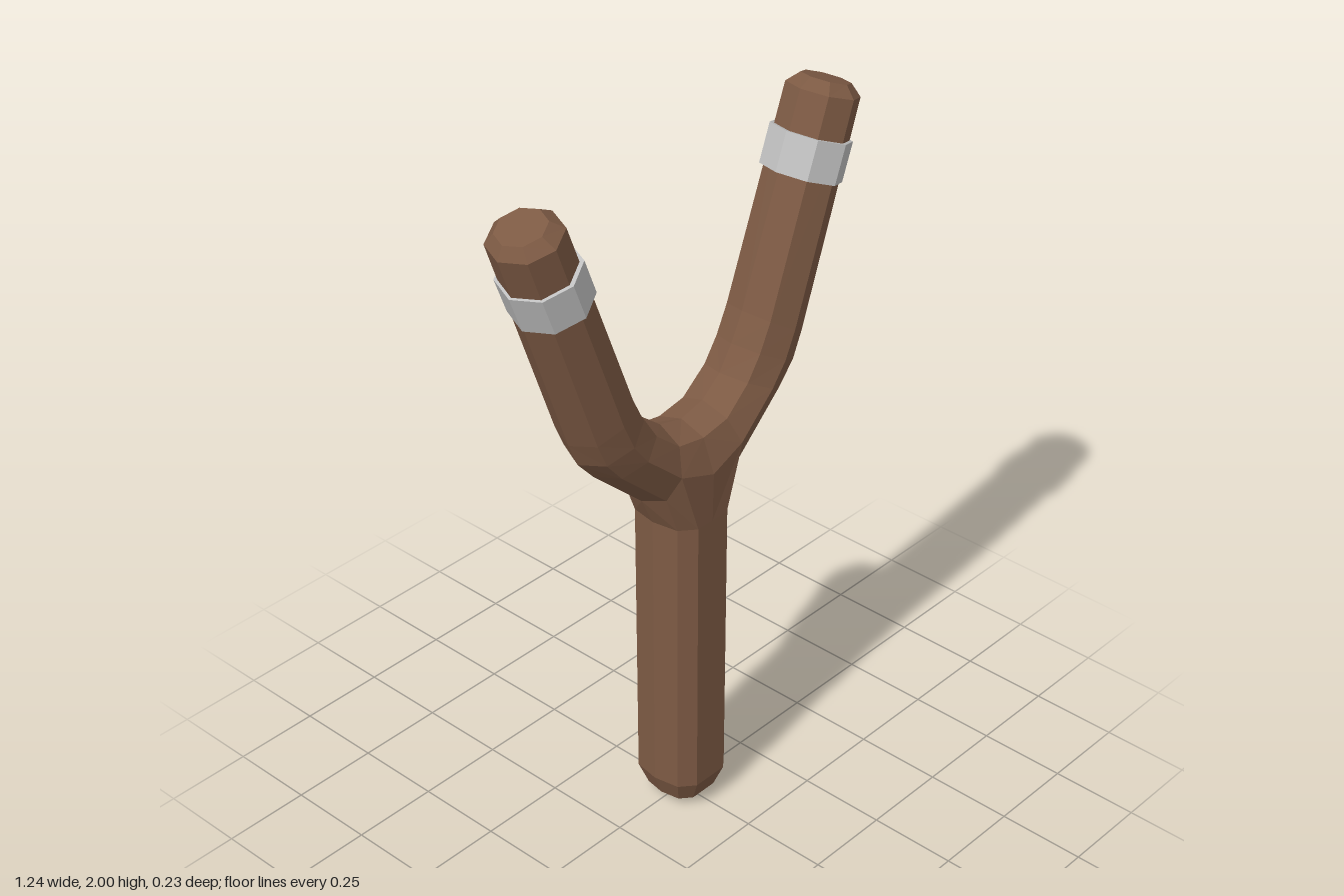
import * as THREE from 'three';

const wood = new THREE.MeshStandardMaterial({ name: 'brownWood', color: 0x7d5a44, flatShading: true });
const metal = new THREE.MeshStandardMaterial({ name: 'greyBand', color: 0xc0c0c0, flatShading: true });

// Half of an octagonal ring (z >= 0) from the outer edge to the inner edge of an arm
function armRing(ix, iy, ox, oy, depth = 0.105) {
  return [[0, 0], [0.147, 0.71], [0.5, 1], [0.853, 0.71], [1, 0]].map(([t, d]) =>
    [ox + (ix - ox) * t, oy + (iy - oy) * t, d * depth]);
}

// Quarter of a ten-sided handle ring, from the side to the middle of the front
function handleRing(y, s = 1) {
  return [[0.11, 0], [0.097, 0.075], [0.055, 0.11], [0, 0.11]].map(([x, z]) => [x * s, y, z * s]);
}

function createFrame() {
  const tris = [];
  const same = (a, b) => a.every((v, i) => Math.abs(v - b[i]) < 1e-6);
  const tri = (a, b, c) => {
    if (!same(a, b) && !same(b, c) && !same(a, c)) tris.push([a, b, c]);
  };
  const strip = (a, b) => {
    for (let j = 0; j < a.length - 1; j++) {
      tri(a[j], a[j + 1], b[j + 1]);
      tri(a[j], b[j + 1], b[j]);
    }
  };
  const loft = (rings) => rings.slice(1).forEach((r, i) => strip(rings[i], r));

  // Arm, from its bevelled tip down to the fork
  const fork = armRing(0.08, 1.23, 0.15, 1.03, 0.108);
  loft([
    armRing(0.54, 1.977, 0.54, 1.977, 0),
    armRing(0.48, 1.999, 0.603, 1.953, 0.068),
    armRing(0.44, 1.98, 0.62, 1.917, 0.101),
    armRing(0.23, 1.43, 0.408, 1.32),
    armRing(0.19, 1.35, 0.378, 1.25),
    armRing(0.145, 1.282, 0.325, 1.19),
    fork,
  ]);

  // Saddle between the arms
  const saddle = [[0, 1.09, 0.113], [0, 1.185, 0.077], [0, 1.21, 0]];
  strip(fork.slice(2), saddle);

  // Handle, from the fork to its rounded foot
  loft([
    [...fork.slice(0, 3), saddle[0]],
    handleRing(0.945),
    handleRing(0.09, 0.98),
    handleRing(0.025, 0.75),
    handleRing(0.01, 0.5),
    handleRing(0, 0),
  ]);

  // Mirror the quarter to both sides and to the back
  const pos = [];
  for (const sx of [1, -1]) for (const sz of [1, -1]) {
    for (const t of tris) {
      const order = sx * sz > 0 ? t : [t[0], t[2], t[1]];
      for (const [x, y, z] of order) pos.push(x * sx, y, z * sz);
    }
  }
  const geo = new THREE.BufferGeometry();
  geo.setAttribute('position', new THREE.Float32BufferAttribute(pos, 3));
  geo.computeVertexNormals();
  const mesh = new THREE.Mesh(geo, wood);
  mesh.name = 'forkedFrame';
  return mesh;
}

export function createModel() {
  const group = new THREE.Group();
  group.name = 'slingshot';
  group.add(createFrame());

  // Metal bands around the arms
  for (const side of [1, -1]) {
    const band = new THREE.Mesh(new THREE.CylinderGeometry(0.106, 0.106, 0.108, 8), metal);
    band.name = side > 0 ? 'leftBand' : 'rightBand';
    band.scale.z = 1.07;
    band.position.set(side * 0.47, 1.793, 0);
    band.rotation.z = -side * 0.365;
    group.add(band);
  }
  return group;
}
